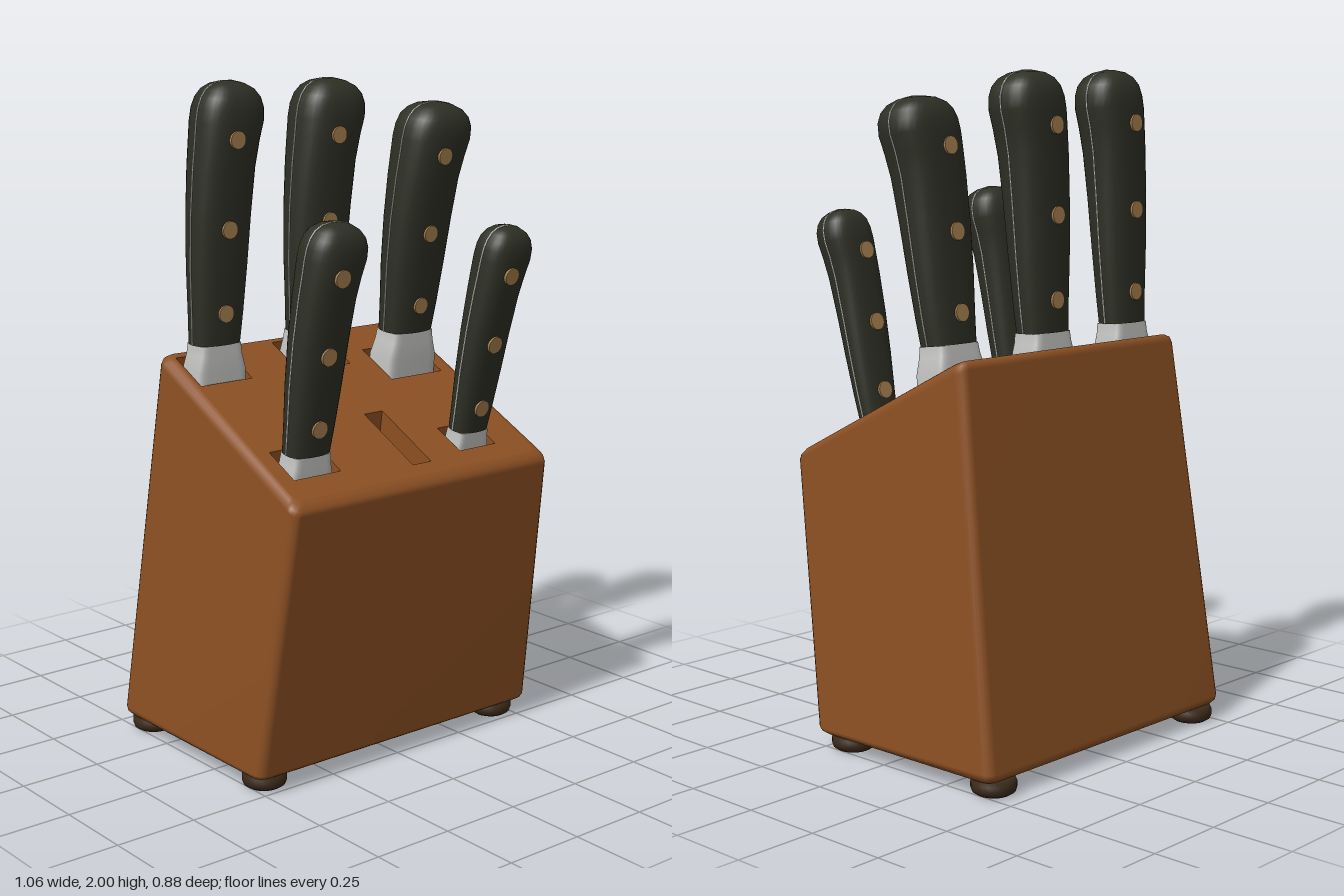
import * as THREE from 'three';

const mat = (name, color, side = THREE.FrontSide) => {
  const m = new THREE.MeshStandardMaterial({ color, side });
  m.name = name;
  return m;
};
const lerp = THREE.MathUtils.lerp;

// Skin a stack of rings (counter-clockwise seen from above), with optional end caps
function loft(rings, capStart = true, capEnd = true) {
  const n = rings[0].length, pos = [], idx = [];
  rings.forEach(r => r.forEach(p => pos.push(p.x, p.y, p.z)));
  for (let i = 0; i < rings.length - 1; i++) {
    for (let j = 0; j < n; j++) {
      const a = i * n + j, b = i * n + (j + 1) % n;
      idx.push(a, b, b + n, a, b + n, a + n);
    }
  }
  const cap = (ring, up) => {
    const start = pos.length / 3;
    const c = ring.reduce((s, p) => s.add(p), new THREE.Vector3()).divideScalar(n);
    ring.forEach(p => pos.push(p.x, p.y, p.z));
    pos.push(c.x, c.y, c.z);
    for (let j = 0; j < n; j++) {
      const a = start + j, b = start + (j + 1) % n;
      up ? idx.push(start + n, a, b) : idx.push(start + n, b, a);
    }
  };
  if (capStart) cap(rings[0], false);
  if (capEnd) cap(rings[rings.length - 1], true);
  const g = new THREE.BufferGeometry();
  g.setAttribute('position', new THREE.Float32BufferAttribute(pos, 3));
  g.setIndex(idx);
  g.computeVertexNormals();
  return g;
}

// Squarish oval ring at height y
function oval(y, cx, hx, hz, power, n = 32) {
  return Array.from({ length: n }, (_, j) => {
    const a = (j / n) * Math.PI * 2, c = Math.cos(a), s = Math.sin(a);
    const f = v => Math.sign(v) * Math.abs(v) ** (2 / power);
    return new THREE.Vector3(cx + hx * f(c), y, -hz * f(s));
  });
}

// Sloping top of the block
const topY = z => 0.875 + (0.38 - z) * 0.505;

// Ring around the leaning, tapering block at fraction t of its height
function blockRing(inset, t) {
  const pts = [], r = 0.03, hx = 0.53 - inset, hz = 0.345 - inset;
  for (const [k, sx, sz] of [[0, 1, 1], [1, -1, 1], [2, -1, -1], [3, 1, -1]]) {
    for (let j = 0; j <= 4; j++) {
      const a = (k + j / 4) * Math.PI / 2;
      const px = sx * (hx - r) + r * Math.cos(a);
      const pz = -(sz * (hz - r) + r * Math.sin(a)) / 0.345 / 2 + 0.5;
      const zt = lerp(-0.29, 0.38, pz), z = lerp(lerp(-0.45, 0.26, pz), zt, t);
      const y = lerp(0.045, topY(zt), t);
      pts.push(new THREE.Vector3(px * (1 - 0.094 * (y - 0.045)), y, z));
    }
  }
  return pts;
}

// Handle outline: [fraction of length, left edge, right edge, half depth]
const HANDLE = [
  [0, -0.085, 0.085, 0.055], [0.12, -0.088, 0.095, 0.059], [0.3, -0.094, 0.106, 0.066],
  [0.5, -0.094, 0.115, 0.074], [0.68, -0.087, 0.125, 0.083], [0.78, -0.08, 0.138, 0.089],
  [0.85, -0.076, 0.152, 0.092], [0.9, -0.07, 0.153, 0.09], [0.94, -0.058, 0.142, 0.083],
  [0.97, -0.04, 0.122, 0.068], [0.99, -0.015, 0.092, 0.045], [1, 0.02, 0.055, 0.015],
];
const BOLSTER = [[-0.2, 0.096, 0.056], [-0.08, 0.094, 0.056], [-0.03, 0.08, 0.052], [0, 0.077, 0.05]];

// x, y, z of handle base, length, size, forward tilt
const KNIVES = [
  ['backRightKnife', -0.345, 1.24, -0.185, 0.76, 0.93, 0.04],
  ['backMiddleKnife', 0.02, 1.24, -0.185, 0.755, 1, 0.04],
  ['backLeftKnife', 0.31, 1.22, -0.085, 0.705, 1.03, 0.12],
  ['frontRightKnife', -0.327, 0.985, 0.225, 0.662, 0.84, 0.14],
  ['frontLeftKnife', 0.27, 0.97, 0.25, 0.63, 0.73, 0.2],
];

export function createModel() {
  const model = new THREE.Group();
  const wood = mat('wood', 0x8c5023), grip = mat('darkGrip', 0x2e3025);
  const steel = mat('steel', 0xc2c2c0), brass = mat('brass', 0xa6804e), rubber = mat('footBrown', 0x3b2a1b);
  const add = (parent, name, geo, m) => {
    const mesh = new THREE.Mesh(geo, m);
    mesh.name = name;
    parent.add(mesh);
    return mesh;
  };

  // Block body with softened edges, open at the top
  const block = new THREE.Group();
  block.name = 'block';
  model.add(block);
  const rings = [], b = 0.03;
  for (const [i, h] of [[1, 0], [0.5, 0.13], [0.13, 0.5], [0, 1]]) rings.push(blockRing(b * i, h * 0.026));
  for (const [i, h] of [[0, 1], [0.13, 0.5], [0.5, 0.13], [1, 0]]) rings.push(blockRing(b * i, 1 - h * 0.03));
  add(block, 'blockBody', loft(rings, true, false), wood);

  // Slots: one per knife, plus an empty one
  const slots = KNIVES.map(([, x, y, z, , size, tilt]) => {
    const cz = z - tilt * (y - topY(z)) / (1 + 0.505 * tilt);
    return [x - 0.099 * size, x + 0.099 * size, cz - 0.068 * size, cz + 0.068 * size];
  });
  slots.push([0, 0.07, 0.09, 0.31]);
  const face = new THREE.Shape(rings[rings.length - 1].map(p => new THREE.Vector2(p.x, -p.z)));
  for (const [x0, x1, z0, z1] of slots) {
    const corners = [[x1, z1], [x1, z0], [x0, z0], [x0, z1]];
    face.holes.push(new THREE.Path(corners.map(([x, z]) => new THREE.Vector2(x, -z))));
    const upper = corners.map(([x, z]) => new THREE.Vector3(x, topY(z), z));
    const lower = upper.map(p => new THREE.Vector3(p.x, p.y - 0.14, p.z - 0.02));
    const pocket = loft([upper, lower], false, true).toNonIndexed();
    pocket.computeVertexNormals();
    add(block, 'slot', pocket, wood);
  }
  const topGeo = new THREE.ShapeGeometry(face);
  const tp = topGeo.attributes.position;
  for (let i = 0; i < tp.count; i++) {
    const z = -tp.getY(i);
    tp.setXYZ(i, tp.getX(i), topY(z), z);
  }
  topGeo.computeVertexNormals();
  add(block, 'blockTop', topGeo, wood);

  // Feet
  const footProfile = [[0, 0], [0.05, 0], [0.062, 0.008], [0.066, 0.02], [0.066, 0.035], [0.058, 0.05], [0, 0.05]];
  const footGeo = new THREE.LatheGeometry(footProfile.map(p => new THREE.Vector2(...p)), 24);
  for (const x of [-0.45, 0.45]) {
    for (const z of [0.18, -0.39]) add(model, 'foot', footGeo, rubber).position.set(x, 0, z);
  }

  // Knives
  for (const [name, x, y, z, length, size, tilt] of KNIVES) {
    const knife = new THREE.Group();
    knife.name = name;
    knife.position.set(x, y, z);
    knife.rotation.x = Math.atan(tilt);
    model.add(knife);

    const handleRings = HANDLE.map(([t, l, r, d]) =>
      oval(t * length, (l + r) / 2 * size, (r - l) / 2 * size, d * size, 2.7));
    add(knife, 'handle', loft(handleRings), grip);

    // Thin tang showing along the seam
    const tangRings = HANDLE.map(([t, l, r]) =>
      oval(t * (length + 0.001), (l + r) / 2 * size, (r - l) / 2 * size + 0.0015, 0.003, 8));
    add(knife, 'tang', loft(tangRings), steel);

    add(knife, 'bolster', loft(BOLSTER.map(([h, hx, hz]) => oval(h, 0, hx * size, hz * size, 7))), steel);

    // Rivets go right through the handle
    for (const [t, rx, d] of [[0.125, 0, 0.06], [0.45, 0.002, 0.073], [0.79, 0.016, 0.0895]]) {
      const rivet = new THREE.CylinderGeometry(0.026, 0.026, 2 * d * size + 0.012, 18);
      rivet.rotateX(Math.PI / 2);
      add(knife, 'rivet', rivet, brass).position.set(rx * size, t * length, 0);
    }
  }
  return model;
}
